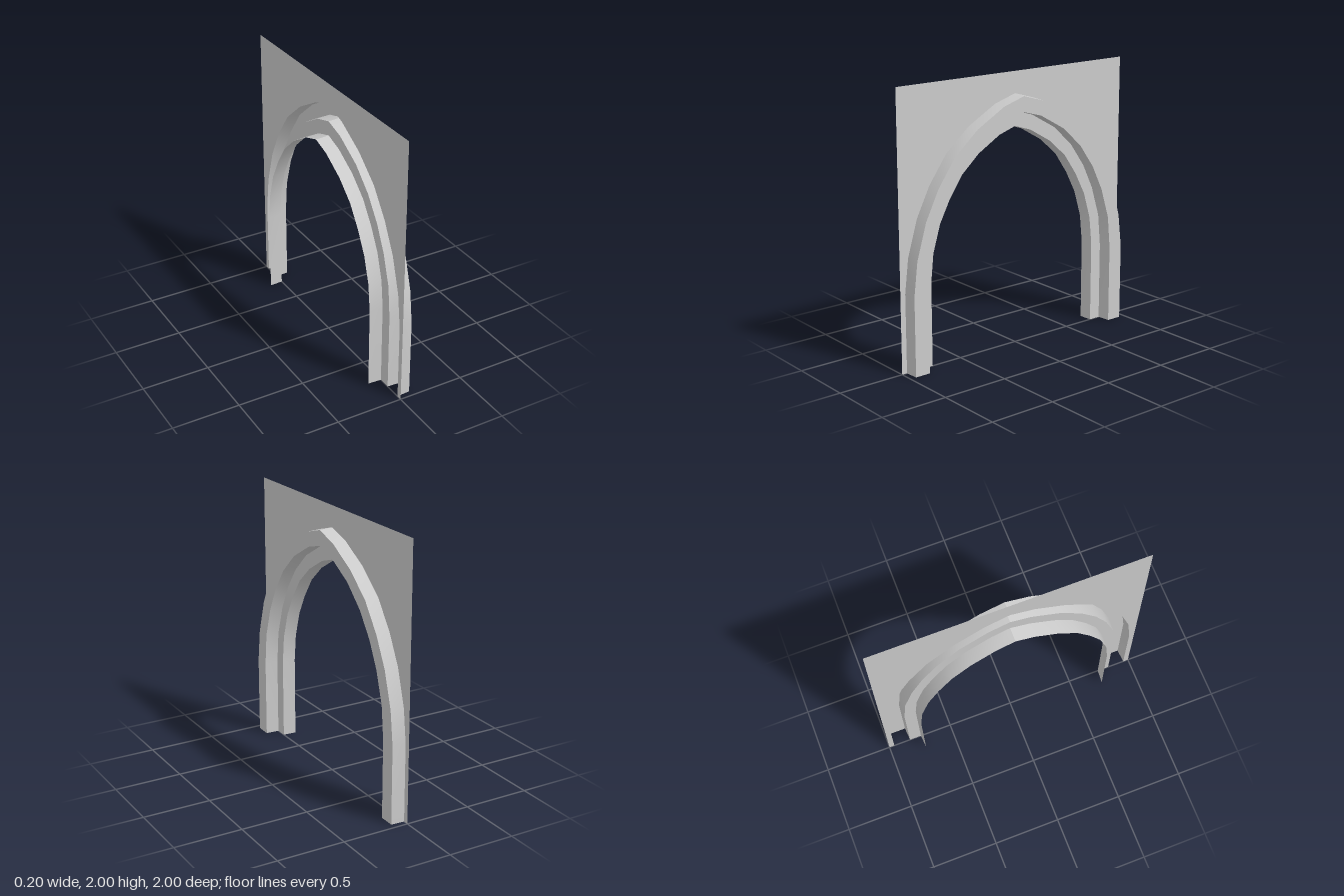
import * as THREE from 'three';

const material = new THREE.MeshStandardMaterial({ color: 0xcccccc, side: THREE.DoubleSide });

// Half arches as [z, y], from the foot to the apex
const OUTER = [[0.96, 0], [0.96, 0.576], [0.93, 0.824], [0.852, 1.086], [0.744, 1.3], [0.6, 1.5], [0.407, 1.662], [0.177, 1.79], [0, 1.843]];
const MIDDLE = [[0.838, 0], [0.838, 0.58], [0.815, 0.823], [0.745, 1.049], [0.654, 1.236], [0.531, 1.408], [0.37, 1.558], [0.155, 1.68], [0, 1.724]];
const INNER = [[0.742, 0], [0.742, 0.61], [0.72, 0.817], [0.66, 1.015], [0.574, 1.178], [0.467, 1.332], [0.322, 1.46], [0.139, 1.566], [0, 1.61]];

// Draws an arch slightly inwards, for the tapered faces
function inset(arch, d) {
  return arch.map(([z, y]) => {
    const up = Math.max(y - 0.58, 0);
    const len = Math.hypot(z, up);
    return [z - (d * z) / len, y - (d * up) / len];
  });
}

// Cross-section of the moulding, from the wall to the rear of the opening
const rings = [
  { x: 0, arch: OUTER },
  { x: 0.1, arch: inset(OUTER, 0.006) },
  { x: 0.1, arch: MIDDLE },
  { x: 0, arch: inset(MIDDLE, 0.007) },
  { x: 0, arch: INNER },
  { x: -0.1, arch: inset(INNER, 0.007) },
];
const names = ['mouldingOuterSide', 'mouldingFace', 'mouldingInnerSide', 'step', 'reveal'];

// Band between two rings on one side of the arch, smooth along its length
function band(a, b, side) {
  const positions = [];
  const index = [];
  a.arch.forEach(([z, y], i) => {
    positions.push(a.x, y, z * side, b.x, b.arch[i][1], b.arch[i][0] * side);
    if (i === 0) return;
    const k = 2 * i - 2;
    if (side > 0) index.push(k, k + 1, k + 2, k + 1, k + 3, k + 2);
    else index.push(k, k + 2, k + 1, k + 1, k + 2, k + 3);
  });
  const geometry = new THREE.BufferGeometry();
  geometry.setAttribute('position', new THREE.Float32BufferAttribute(positions, 3));
  geometry.setIndex(index);
  geometry.computeVertexNormals();
  return geometry;
}

export function createModel() {
  const model = new THREE.Group();
  model.name = 'archway';

  function add(name, geometry, parent) {
    const mesh = new THREE.Mesh(geometry, material);
    mesh.name = name;
    parent.add(mesh);
  }

  // Thin wall around the arch
  const contour = [
    [-1, 0], ...OUTER.map(([z, y]) => [-z, y]),
    ...OUTER.slice(0, -1).reverse(), [1, 0], [1, 2], [-1, 2],
  ];
  const wall = new THREE.Shape(contour.map(([z, y]) => new THREE.Vector2(z, y)));
  add('wall', new THREE.ShapeGeometry(wall).rotateY(Math.PI / 2), model);

  // Two mirrored halves of the stepped arch, meeting in a point
  for (const side of [1, -1]) {
    const half = new THREE.Group();
    half.name = side > 0 ? 'frontHalfArch' : 'backHalfArch';
    names.forEach((name, i) => add(name, band(rings[i], rings[i + 1], side), half));
    model.add(half);
  }
  return model;
}
